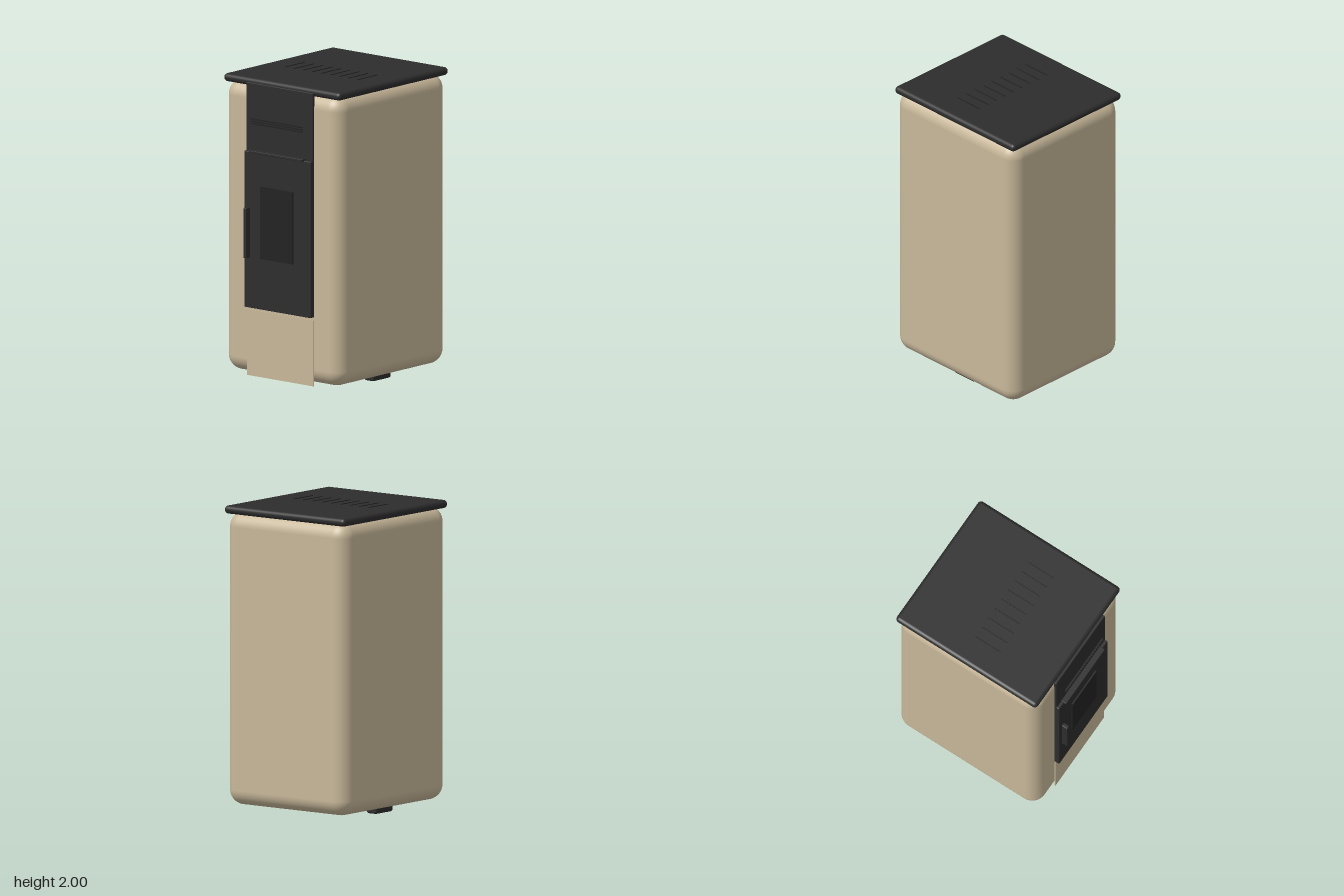
import * as THREE from 'three';
import { RoundedBoxGeometry } from 'three/addons/geometries/RoundedBoxGeometry.js';

const material = (name, color) => {
  const m = new THREE.MeshStandardMaterial({ color });
  m.name = name;
  return m;
};

export function createModel() {
  const group = new THREE.Group();
  const beige = material('beige enamel', 0xc8b89a);
  const black = material('black steel', 0x2d2d2d);
  const dark = material('dark trim', 0x222222);

  // Box given by its limits on each axis, with optional rounded edges
  function block(name, mat, [x0, x1], [y0, y1], [z0, z1], radius = 0, segments = 3) {
    const size = [x1 - x0, y1 - y0, z1 - z0];
    const geometry = radius
      ? new RoundedBoxGeometry(...size, segments, radius)
      : new THREE.BoxGeometry(...size);
    const mesh = new THREE.Mesh(geometry, mat);
    mesh.name = name;
    mesh.position.set((x0 + x1) / 2, (y0 + y1) / 2, (z0 + z1) / 2);
    group.add(mesh);
  }

  // Cabinet and overhanging lid
  block('body', beige, [-0.495, 0.495], [0.037, 1.96], [-0.587, 0.513], 0.1, 8);
  block('lid', black, [-0.497, 0.497], [1.943, 1.996], [-0.59, 0.51], 0.026, 5);

  // Row of vent ribs on the lid
  for (let i = -4; i <= 4; i++) {
    const x = i * 0.077;
    block('lidVent', dark, [x - 0.003, x + 0.003], [1.99, 2], [-0.09, 0.107]);
  }

  // Front: upper panel, fire door and lower panel
  block('upperPanel', black, [-0.283, 0.283], [1.518, 1.97], [0.505, 0.527], 0.004);
  block('door', black, [-0.283, 0.283], [0.484, 1.52], [0.508, 0.548], 0.006);
  block('lowerPanel', beige, [-0.283, 0.283], [0.028, 0.465], [0.511, 0.518]);

  // Door window, vertical handle and the ledge above the door
  block('window', dark, [-0.14, 0.14], [0.822, 1.3], [0.545, 0.558]);
  block('handle', black, [-0.254, -0.228], [0.818, 1.15], [0.547, 0.591], 0.005);
  block('doorLedge', black, [-0.228, 0.225], [1.514, 1.53], [0.525, 0.566], 0.003);

  // Three grille bars standing off the upper panel
  for (const y of [1.71, 1.725, 1.74]) {
    block('grilleBar', dark, [-0.217, 0.215], [y - 0.004, y + 0.004], [0.55, 0.56]);
  }

  // Feet
  for (const side of [-1, 1]) {
    const x = side * 0.357;
    block('foot', black, [x - 0.04, x + 0.04], [0, 0.05], [-0.125, 0.053], 0.012);
  }

  return group;
}
